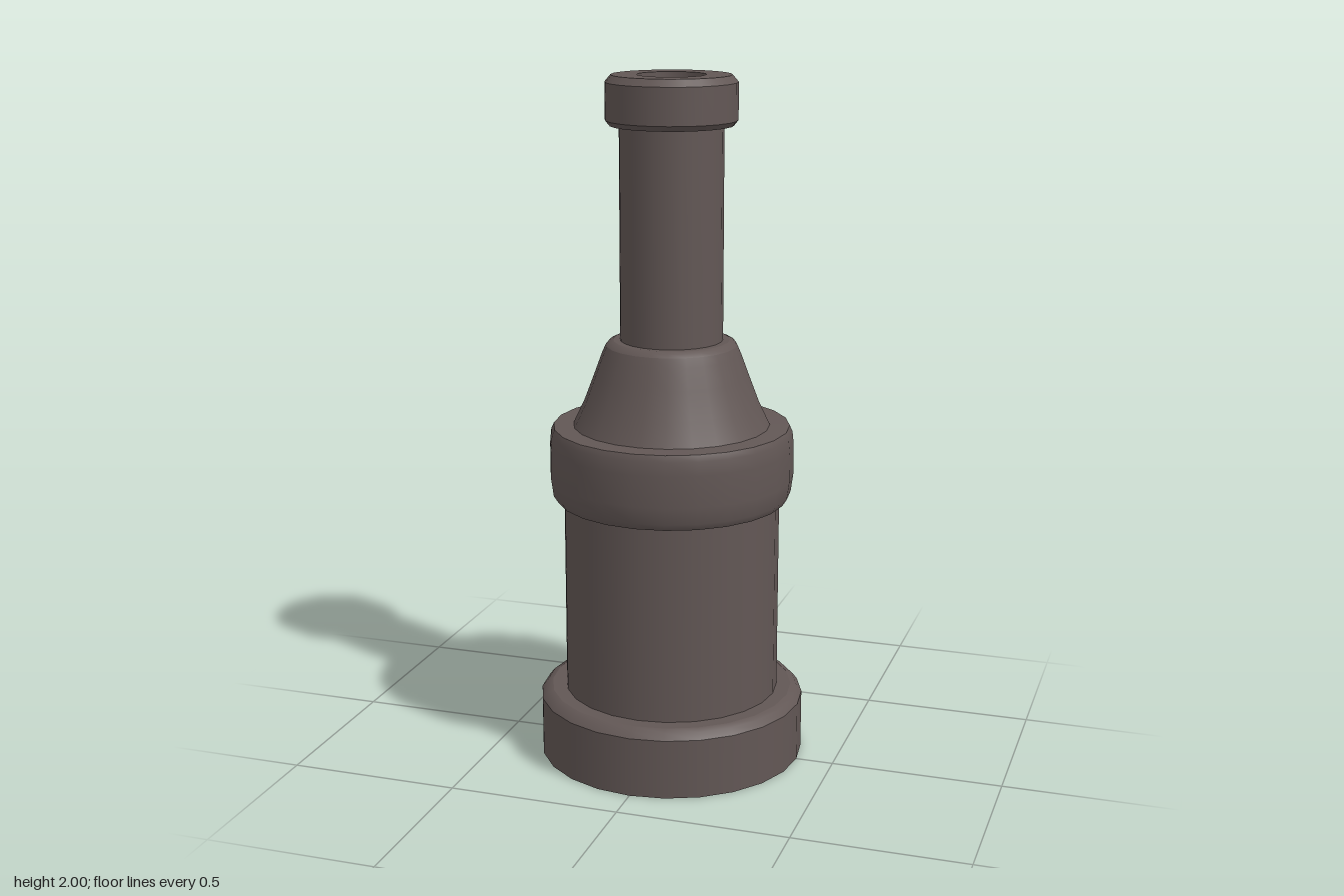
import * as THREE from 'three';

const SIDES = 24;

export function createModel() {
  const group = new THREE.Group();
  group.name = 'steppedNozzle';

  const metal = new THREE.MeshStandardMaterial({ color: 0x625755, side: THREE.DoubleSide });
  metal.name = 'dark brown metal';

  // Each part is a group of lathed bands; bands are smooth inside and sharp where they meet.
  function turned(name, ...bands) {
    const part = new THREE.Group();
    part.name = name;
    bands.forEach((band, i) => {
      const points = band.map(([r, y]) => new THREE.Vector2(r, y));
      const mesh = new THREE.Mesh(new THREE.LatheGeometry(points, SIDES), metal);
      mesh.name = `${name}Band${i + 1}`;
      part.add(mesh);
    });
    group.add(part);
  }

  // Open, hollow foot with a bevelled shoulder
  turned('baseFlange',
    [[0.39, 0], [0.39, 0.175]],
    [[0.39, 0.175], [0.375, 0.193], [0.357, 0.2]],
    [[0.357, 0.2], [0.315, 0.2]]);

  // Wide lower tube
  turned('body', [[0.315, 0.2], [0.315, 0.78]]);

  // Rounded collar
  turned('collar',
    [[0.315, 0.78], [0.335, 0.78]],
    [[0.335, 0.78], [0.348, 0.8], [0.355, 0.85], [0.355, 0.94], [0.351, 0.98], [0.343, 0.998]],
    [[0.343, 0.998], [0.285, 1.0]]);

  // Concave cone narrowing to the neck
  turned('taper',
    [[0.285, 1.0], [0.252, 1.07], [0.222, 1.15], [0.2, 1.21], [0.189, 1.235]],
    [[0.189, 1.235], [0.18, 1.245], [0.168, 1.25]],
    [[0.168, 1.25], [0.148, 1.25]]);

  // Narrow upper tube
  turned('neck', [[0.148, 1.25], [0.148, 1.86]]);

  // Bevelled mouth ring with a short bore
  turned('mouth',
    [[0.148, 1.86], [0.175, 1.86]],
    [[0.175, 1.86], [0.187, 1.875]],
    [[0.187, 1.875], [0.187, 1.98]],
    [[0.187, 1.98], [0.17, 2.0]],
    [[0.17, 2.0], [0.097, 2.0]],
    [[0.097, 2.0], [0.097, 1.9]]);

  return group;
}
